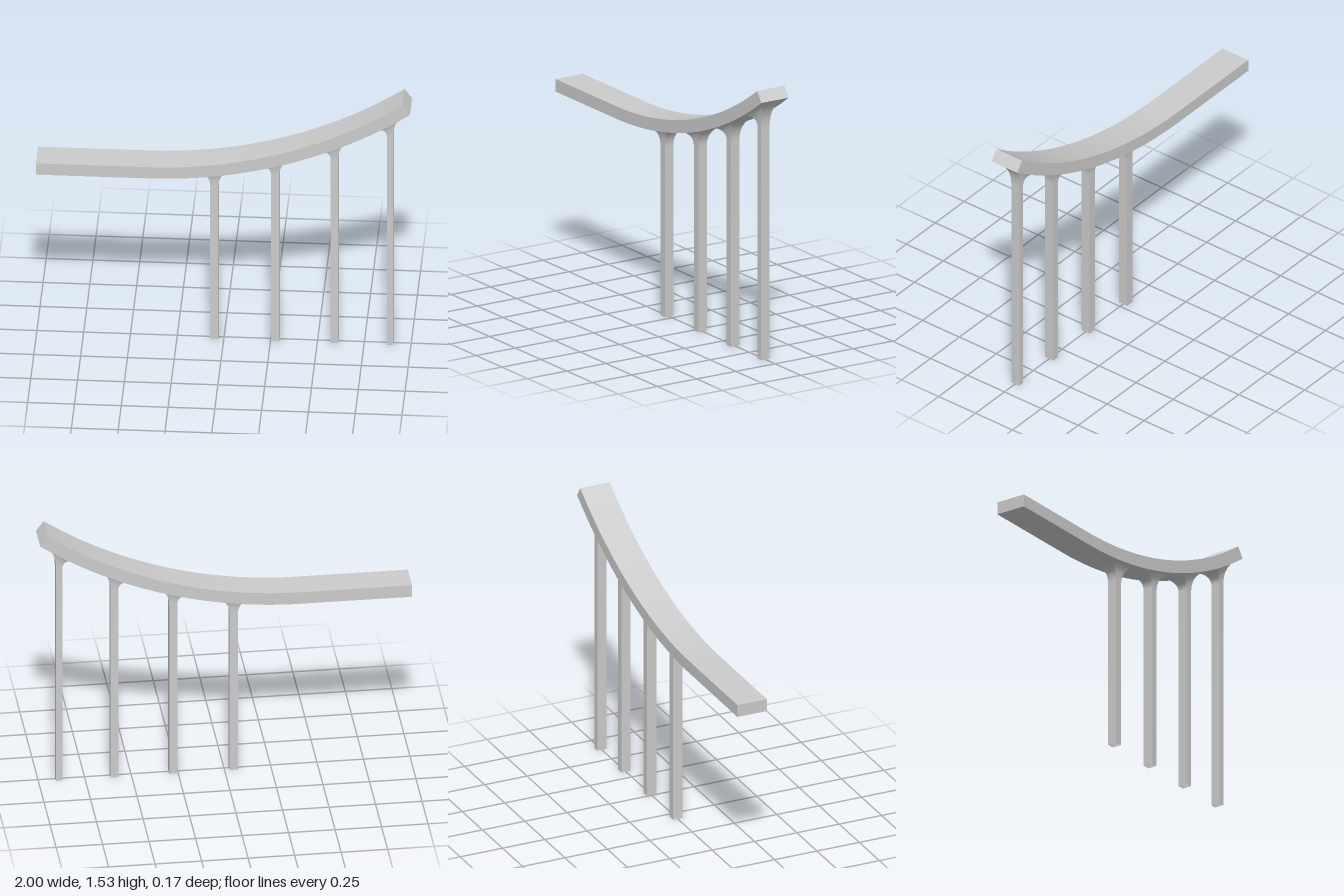
import * as THREE from 'three';
import { toCreasedNormals } from 'three/addons/utils/BufferGeometryUtils.js';

const START = -0.4, UNDER = 1.02, THICK = 0.07, HALF_Z = 0.087;
const RADIUS = 2.405, SWEEP = 0.621;
const CENTRE_Y = UNDER + RADIUS;

// Height of the deck's underside at x
const underside = (x) => x < START ? UNDER : CENTRE_Y - Math.sqrt(RADIUS ** 2 - (x - START) ** 2);

// Side profile of the deck: a level run followed by a rising arc
function deckGeometry() {
  const a = -Math.PI / 2;
  const shape = new THREE.Shape();
  shape.moveTo(-1, UNDER);
  shape.lineTo(START, UNDER);
  shape.absarc(START, CENTRE_Y, RADIUS, a, a + SWEEP, false);
  shape.absarc(START, CENTRE_Y, RADIUS - THICK, a + SWEEP, a, true);
  shape.lineTo(-1, UNDER + THICK);
  shape.closePath();
  const g = new THREE.ExtrudeGeometry(shape, { depth: 2 * HALF_Z, bevelEnabled: false, curveSegments: 40 });
  g.translate(0, 0, -HALF_Z);
  return toCreasedNormals(g, 0.5);
}

// Rectangular hollow shaft whose top flares out to meet the sloping deck
function pillarGeometry({ x, half, neck, left, right }) {
  const steps = 14, pos = [], index = [];
  const yLeft = underside(left), yRight = underside(right);
  const addRing = (xl, yl, xr, yr, z) => pos.push(xl, yl, z, xr, yr, z, xr, yr, -z, xl, yl, -z);

  addRing(x - half, 0, x + half, 0, 0.027);
  for (let i = 0; i <= steps; i++) {
    const t = i / steps, s = t * t;
    const rise = (top, bend) => neck + (top - neck) * (2 * t * (1 - t) * bend + s);
    addRing(
      x - half + (left - x + half) * s, rise(yLeft, 0.95),
      x + half + (right - x - half) * s, rise(yRight, 0.68),
      0.027 + 0.026 * s
    );
  }
  for (let r = 0; r <= steps; r++) {
    for (let k = 0; k < 4; k++) {
      const a = r * 4 + k, b = r * 4 + (k + 1) % 4;
      index.push(a, b, b + 4, a, b + 4, a + 4);
    }
  }
  const g = new THREE.BufferGeometry();
  g.setAttribute('position', new THREE.Float32BufferAttribute(pos, 3));
  g.setIndex(index);
  return toCreasedNormals(g, 0.6);
}

export function createModel() {
  const group = new THREE.Group();
  group.name = 'curvedRamp';
  const solid = new THREE.MeshStandardMaterial({ color: 0xcccccc });
  const open = new THREE.MeshStandardMaterial({ color: 0xcccccc, side: THREE.DoubleSide });

  const deck = new THREE.Mesh(deckGeometry(), solid);
  deck.name = 'deck';
  group.add(deck);

  // Pillars get taller and slimmer as the deck climbs
  const pillars = [
    { x: -0.05, half: 0.0225, neck: 0.95, left: -0.145, right: 0.04 },
    { x: 0.275, half: 0.0225, neck: 1.03, left: 0.185, right: 0.365 },
    { x: 0.592, half: 0.0205, neck: 1.14, left: 0.503, right: 0.685 },
    { x: 0.889, half: 0.017, neck: 1.29, left: 0.81, right: 0.975 },
  ];
  pillars.forEach((p, i) => {
    const mesh = new THREE.Mesh(pillarGeometry(p), open);
    mesh.name = `pillar${i + 1}`;
    group.add(mesh);
  });
  return group;
}
